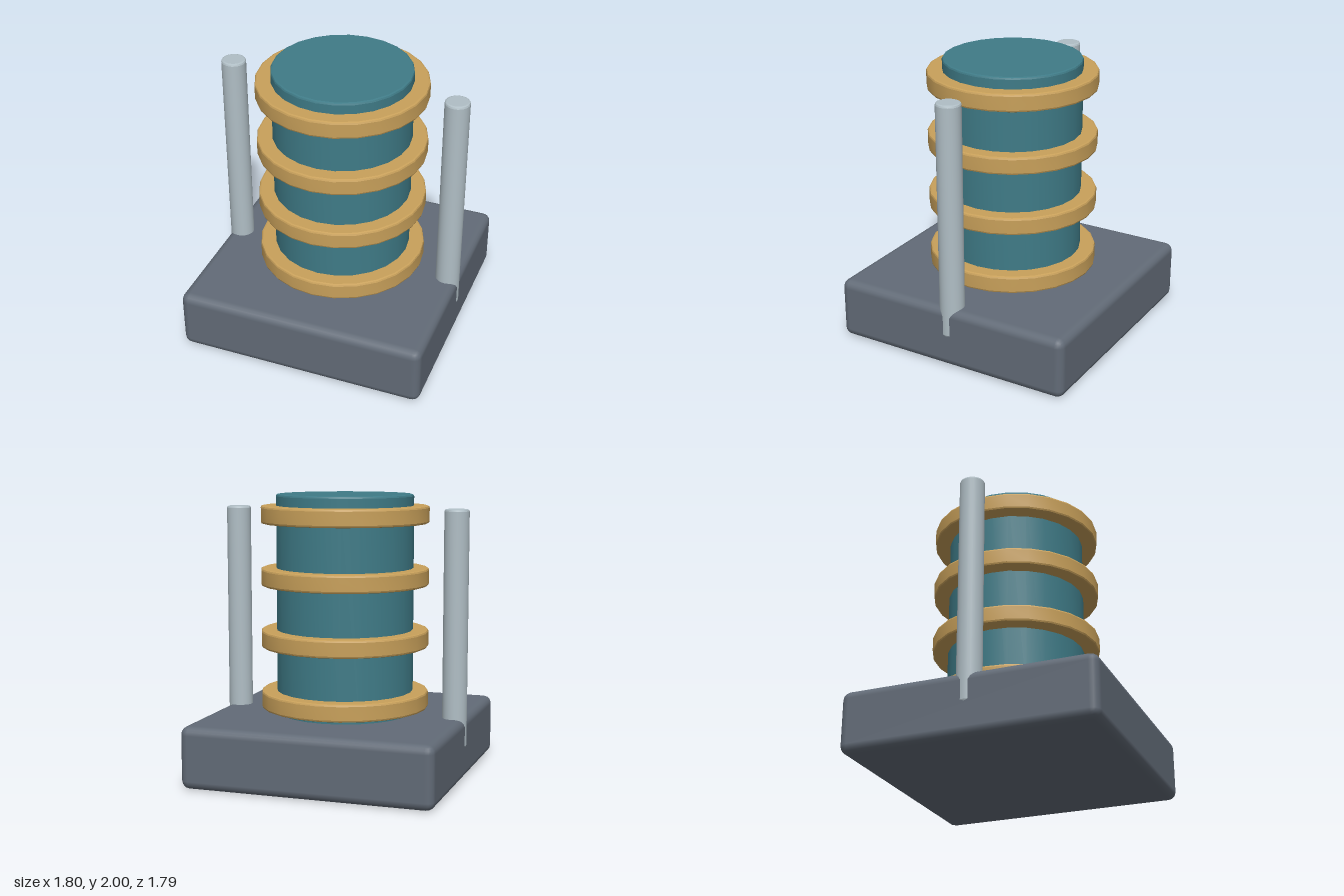
import * as THREE from 'three';
import { toCreasedNormals } from 'three/addons/utils/BufferGeometryUtils.js';
import { RoundedBoxGeometry } from 'three/addons/geometries/RoundedBoxGeometry.js';

function material(name, color) {
  const m = new THREE.MeshStandardMaterial({ color });
  m.name = name;
  return m;
}

// Solid round bar from y0 to y1 with softened rims
function roundBar(radius, y0, y1, bevel) {
  const points = [new THREE.Vector2(0, y0)];
  for (let i = 0; i <= 2; i++) {
    const a = -Math.PI / 2 + (i * Math.PI) / 4;
    points.push(new THREE.Vector2(radius - bevel + bevel * Math.cos(a), y0 + bevel + bevel * Math.sin(a)));
  }
  for (let i = 0; i <= 2; i++) {
    const a = (i * Math.PI) / 4;
    points.push(new THREE.Vector2(radius - bevel + bevel * Math.cos(a), y1 - bevel + bevel * Math.sin(a)));
  }
  points.push(new THREE.Vector2(0, y1));
  return toCreasedNormals(new THREE.LatheGeometry(points, 24), 0.3);
}

export function createModel() {
  const model = new THREE.Group();
  model.name = 'coilColumn';
  const slate = material('slate grey', 0x626b77);
  const teal = material('teal', 0x3f7b87);
  const brass = material('brass', 0xc8a05a);
  const steel = material('pale steel', 0xb0bec5);

  function add(name, geometry, mat, x = 0, y = 0) {
    const mesh = new THREE.Mesh(geometry, mat);
    mesh.name = name;
    mesh.position.set(x, y, 0);
    model.add(mesh);
  }

  // Base block
  add('base', new RoundedBoxGeometry(1.795, 0.44, 1.795, 2, 0.06), slate, 0, 0.22);

  // Central column
  add('column', roundBar(0.49, 0.4, 2, 0.015), teal);

  // Evenly spaced rings
  for (let i = 0; i < 4; i++) {
    add('ring' + (i + 1), roundBar(0.6, -0.0625, 0.0625, 0.015), brass, 0, 0.537 + i * 0.44);
  }

  // Side rods, partly sunk into the base
  for (const side of [-1, 1]) {
    add(side > 0 ? 'leftRod' : 'rightRod', roundBar(0.087, 0.23, 1.905, 0.015), steel, side * 0.815);
  }
  return model;
}
